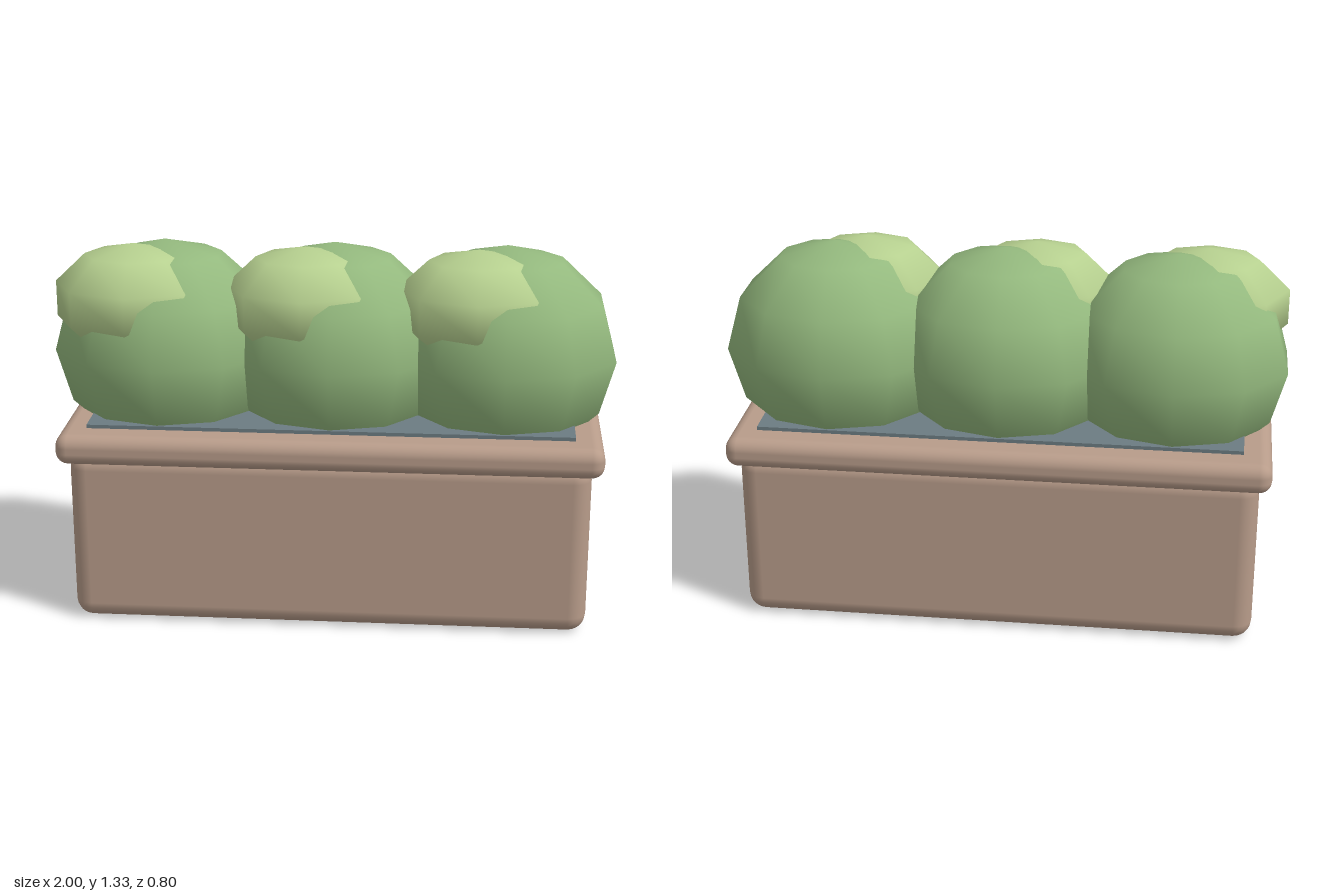
import * as THREE from 'three';
import { RoundedBoxGeometry } from 'three/addons/geometries/RoundedBoxGeometry.js';

const clay = new THREE.MeshStandardMaterial({ color: 0xb89c8a });
const soilGrey = new THREE.MeshStandardMaterial({ color: 0x6c7c82 });
const leaf = new THREE.MeshStandardMaterial({ color: 0x94b97e });
const lightLeaf = new THREE.MeshStandardMaterial({ color: 0xb7d190 });

function add(parent, name, geometry, material, x, y, z) {
  const mesh = new THREE.Mesh(geometry, material);
  mesh.name = name;
  mesh.position.set(x, y, z);
  parent.add(mesh);
  return mesh;
}

// Coarse smooth-shaded ellipsoid with a vertex pointing along z
function blob(rx, ry, rz, around, rings) {
  return new THREE.SphereGeometry(1, around, rings).rotateY(Math.PI / 2).scale(rx, ry, rz);
}

export function createModel() {
  const group = new THREE.Group();
  group.name = 'planterBox';

  // Trough with rounded edges, thick lip and soil sheet
  add(group, 'trough', new RoundedBoxGeometry(1.84, 0.64, 0.74, 3, 0.065), clay, 0, 0.32, 0);
  add(group, 'rim', new RoundedBoxGeometry(1.92, 0.11, 0.8, 3, 0.045), clay, 0, 0.655, 0);
  add(group, 'soil', new THREE.BoxGeometry(1.72, 0.04, 0.59), soilGrey, 0, 0.703, 0);

  // Three clipped bushes, each with a lighter tuft on its upper front
  const bushGeometry = blob(0.41, 0.39, 0.355, 10, 6);
  const tuftGeometry = blob(0.3, 0.207, 0.247, 8, 5);
  for (const x of [-0.61, 0, 0.61]) {
    const bush = new THREE.Group();
    bush.name = 'bush';
    bush.position.set(x, 0.94, 0);
    add(bush, 'foliage', bushGeometry, leaf, 0, 0, 0);
    add(bush, 'lightTuft', tuftGeometry, lightLeaf, -0.1, 0.183, 0.073);
    group.add(bush);
  }
  return group;
}
